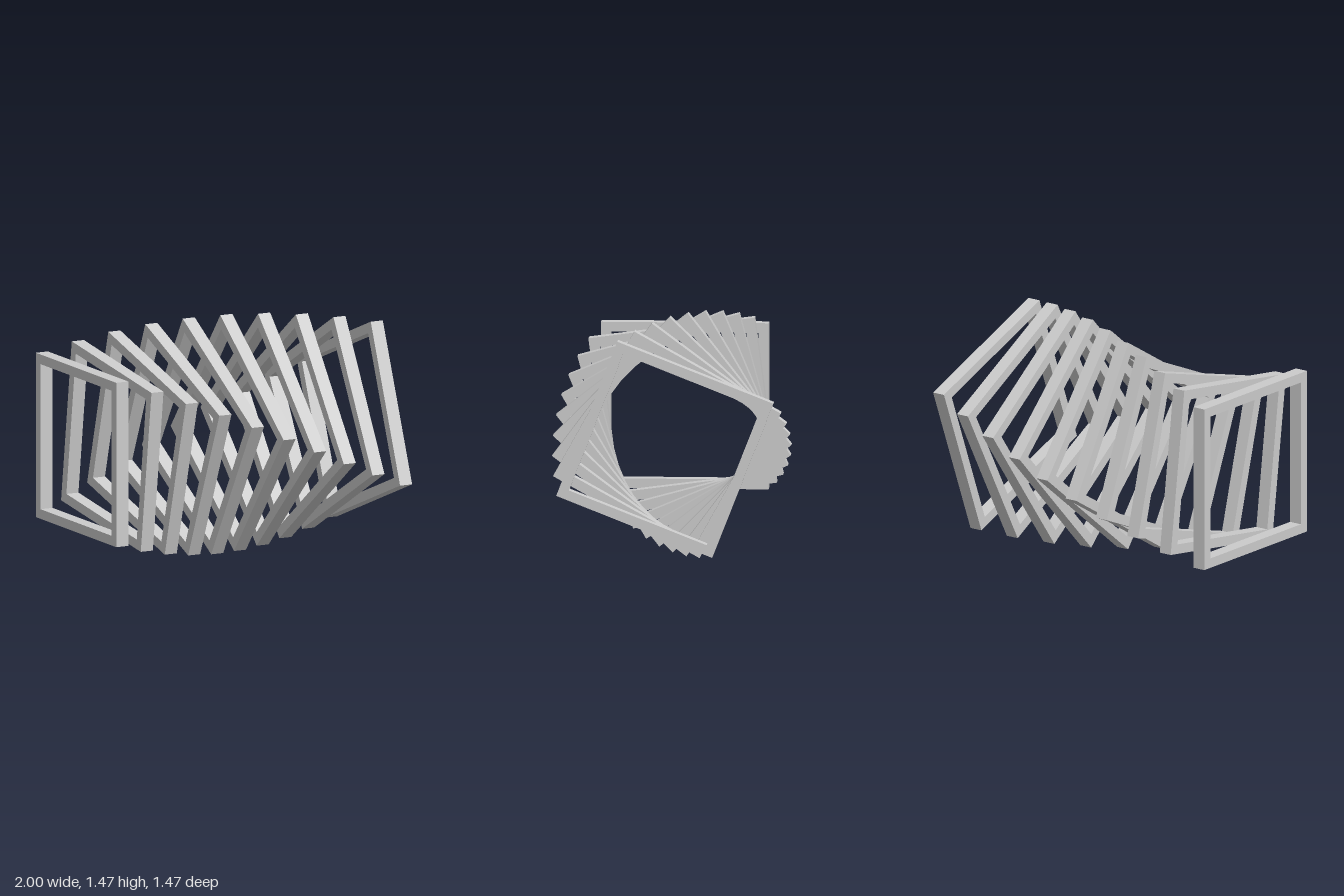
import * as THREE from 'three';

const COUNT = 10;        // frames in the row
const DEPTH = 0.085;     // frame thickness along x
const OUTER = 0.519;     // half side of the outer square
const INNER = 0.458;     // half side of the opening
const TWIST = THREE.MathUtils.degToRad(68.6); // total turn from first to last

// Traces a square of the given half side
function square(path, h) {
  path.moveTo(-h, -h);
  path.lineTo(h, -h);
  path.lineTo(h, h);
  path.lineTo(-h, h);
  path.closePath();
  return path;
}

export function createModel() {
  const model = new THREE.Group();
  model.name = 'twistedFrames';
  const material = new THREE.MeshStandardMaterial({ color: 0xcccccc });

  // One square frame, its depth turned to run along x
  const shape = square(new THREE.Shape(), OUTER);
  shape.holes.push(square(new THREE.Path(), INNER));
  const geometry = new THREE.ExtrudeGeometry(shape, { depth: DEPTH, bevelEnabled: false });
  geometry.translate(0, 0, -DEPTH / 2);
  geometry.rotateY(Math.PI / 2);

  // Row of frames, each turned a little further about the shared axis
  for (let i = 0; i < COUNT; i++) {
    const t = i / (COUNT - 1);
    const frame = new THREE.Mesh(geometry, material);
    frame.name = `squareFrame${i + 1}`;
    frame.position.set((2 * t - 1) * (1 - DEPTH / 2), OUTER * Math.SQRT2, 0);
    frame.rotation.x = TWIST * t;
    model.add(frame);
  }
  return model;
}
